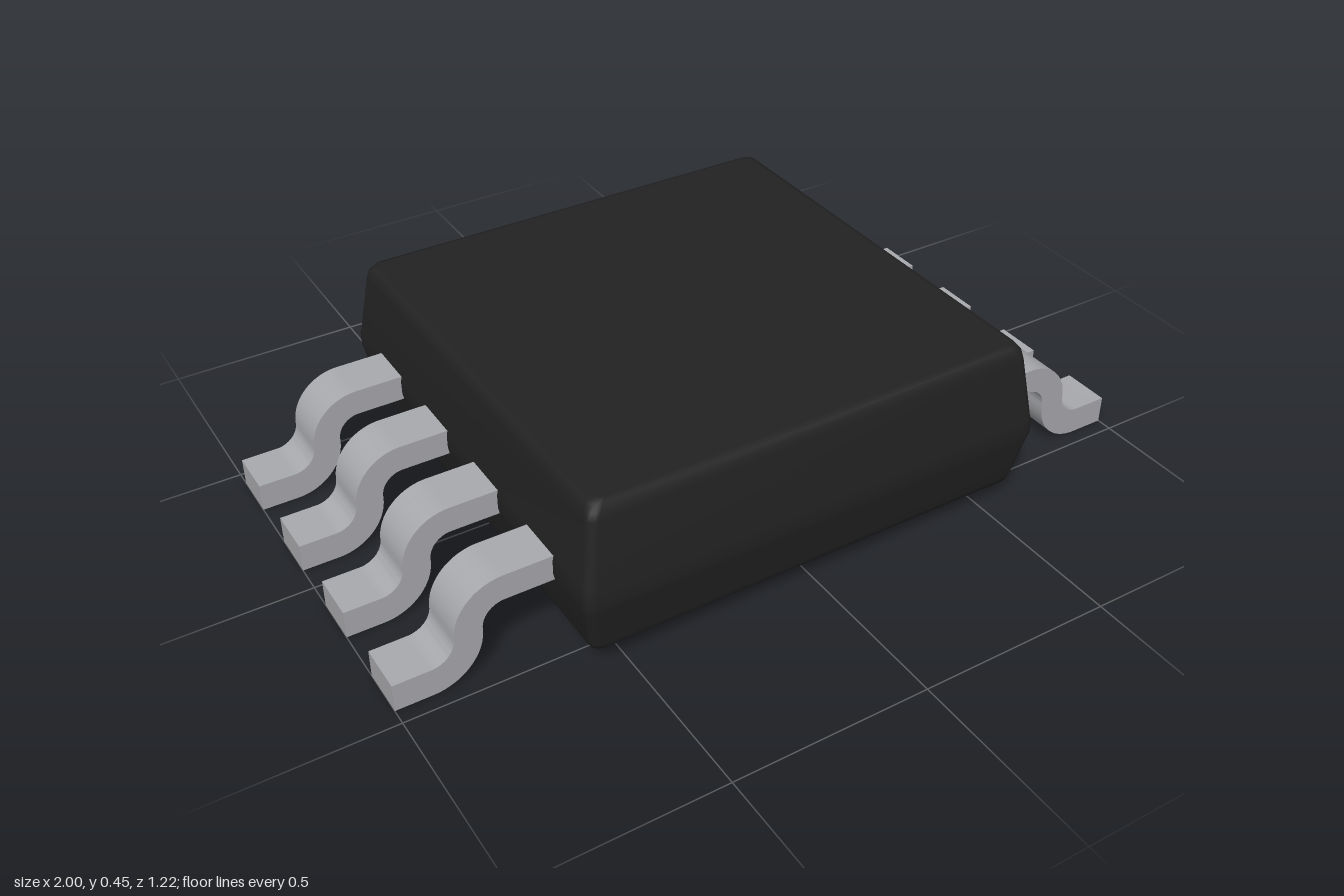
import * as THREE from 'three';
import { toCreasedNormals } from 'three/addons/utils/BufferGeometryUtils.js';

const CORNER = 0.025; // radius of the upright corners
const STEPS = 4;

// Body: rounded-square rings stacked along y, closed with flat caps
function bodyGeometry() {
  // [half width, y], bottom to top
  const profile = [
    [0.555, 0.045], [0.57, 0.049], [0.581, 0.06], [0.587, 0.078],
    [0.608, 0.19], [0.611, 0.205], [0.611, 0.24], [0.608, 0.255],
    [0.585, 0.412], [0.58, 0.432], [0.57, 0.446], [0.555, 0.45],
  ];
  const positions = [], index = [];
  const n = 4 * (STEPS + 1);
  for (const [half, y] of profile) {
    for (let corner = 0; corner < 4; corner++) {
      const mid = (corner + 0.5) * Math.PI / 2;
      const cx = Math.sign(Math.cos(mid)) * (half - CORNER);
      const cz = Math.sign(Math.sin(mid)) * (half - CORNER);
      for (let i = 0; i <= STEPS; i++) {
        const a = (corner + i / STEPS) * Math.PI / 2;
        positions.push(cx + CORNER * Math.cos(a), y, cz + CORNER * Math.sin(a));
      }
    }
  }
  const last = profile.length - 1;
  for (let r = 0; r < last; r++) {
    for (let i = 0; i < n; i++) {
      const a = r * n + i, b = r * n + (i + 1) % n;
      index.push(a, a + n, b, b, a + n, b + n);
    }
  }
  // Caps fan out from a centre point
  const bottom = positions.length / 3, top = bottom + 1;
  positions.push(0, profile[0][1], 0, 0, profile[last][1], 0);
  for (let i = 0; i < n; i++) {
    const j = (i + 1) % n;
    index.push(bottom, i, j, top, last * n + j, last * n + i);
  }
  const geometry = new THREE.BufferGeometry();
  geometry.setAttribute('position', new THREE.Float32BufferAttribute(positions, 3));
  geometry.setIndex(index);
  geometry.computeVertexNormals();
  return geometry;
}

// Lead: S-bent strip profile extruded across its width
function leadGeometry() {
  const width = 0.124, H = Math.PI / 2;
  const shape = new THREE.Shape();
  shape.moveTo(0.57, 0.188);
  shape.lineTo(0.728, 0.188);
  shape.absarc(0.728, 0.132, 0.056, H, 0, true);
  shape.absarc(0.91, 0.126, 0.126, Math.PI, 3 * H, false);
  shape.lineTo(1, 0);
  shape.lineTo(1, 0.072);
  shape.lineTo(0.91, 0.072);
  shape.absarc(0.91, 0.13, 0.058, 3 * H, Math.PI, true);
  shape.absarc(0.728, 0.13, 0.124, 0, H, false);
  shape.lineTo(0.57, 0.254);
  const geometry = new THREE.ExtrudeGeometry(shape, {
    depth: width, bevelEnabled: false, curveSegments: 10,
  });
  geometry.translate(0, 0, -width / 2);
  return toCreasedNormals(geometry, 0.6);
}

export function createModel() {
  const model = new THREE.Group();
  model.name = 'chipPackage';

  const plastic = new THREE.MeshStandardMaterial({ color: 0x222222 });
  plastic.name = 'blackPlastic';
  const metal = new THREE.MeshStandardMaterial({ color: 0xa8a9ad });
  metal.name = 'greyMetal';

  const body = new THREE.Mesh(bodyGeometry(), plastic);
  body.name = 'body';
  model.add(body);

  // Four leads on each side
  const lead = leadGeometry();
  for (const side of ['left', 'right']) {
    const row = new THREE.Group();
    row.name = side + 'Leads';
    if (side === 'right') row.rotation.y = Math.PI;
    for (let i = 0; i < 4; i++) {
      const mesh = new THREE.Mesh(lead, metal);
      mesh.name = side + 'Lead' + (i + 1);
      mesh.position.z = (i - 1.5) * 0.265;
      row.add(mesh);
    }
    model.add(row);
  }
  return model;
}
